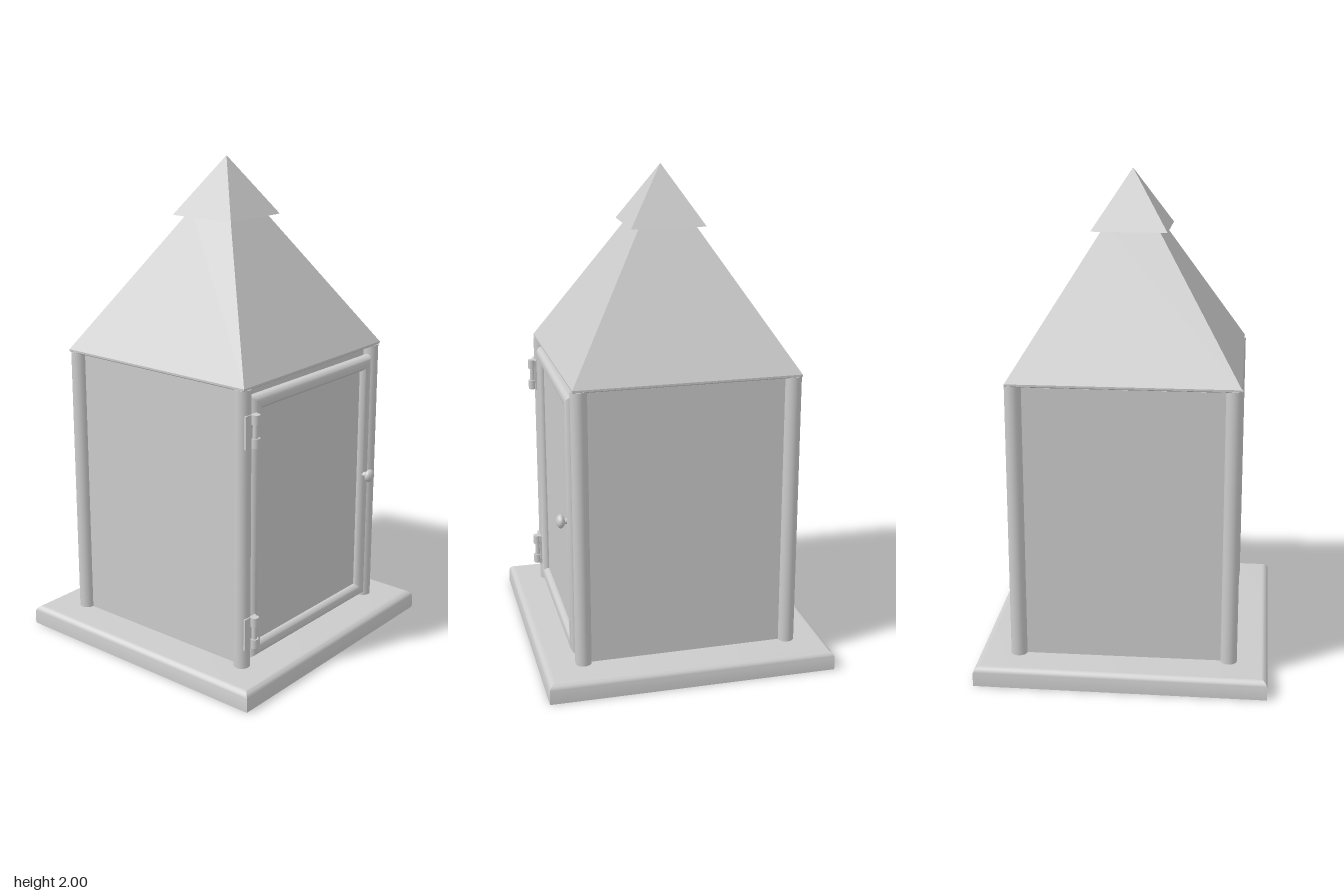
import * as THREE from 'three';
import { toCreasedNormals } from 'three/addons/utils/BufferGeometryUtils.js';

const material = new THREE.MeshStandardMaterial({ color: 0xcccccc });

function add(parent, name, geometry, x = 0, y = 0, z = 0) {
  const mesh = new THREE.Mesh(geometry, material);
  mesh.name = name;
  mesh.position.set(x, y, z);
  parent.add(mesh);
  return mesh;
}

// Square solid with mitred corners from a profile of [half width, height]
function squareSolid(profile) {
  const points = profile.map(([h, y]) => new THREE.Vector2(h * Math.SQRT2, y));
  const geometry = new THREE.LatheGeometry(points, 4, Math.PI / 4);
  return toCreasedNormals(geometry, 0.5);
}

// Rectangle path centred on the origin
function rectangle(path, w, h) {
  path.moveTo(-w / 2, -h / 2);
  path.lineTo(w / 2, -h / 2);
  path.lineTo(w / 2, h / 2);
  path.lineTo(-w / 2, h / 2);
  path.closePath();
  return path;
}

// Door moulding with a half round face, facing +x
function doorFrame(w, h, width) {
  const r = width / 2 - 0.002;
  const shape = rectangle(new THREE.Shape(), w - 2 * r, h - 2 * r);
  shape.holes.push(rectangle(new THREE.Path(), w - 2 * width + 2 * r, h - 2 * width + 2 * r));
  const geometry = new THREE.ExtrudeGeometry(shape, {
    depth: 0.002, bevelEnabled: true, bevelSize: r, bevelThickness: r, bevelSegments: 6,
  });
  geometry.rotateY(Math.PI / 2);
  return toCreasedNormals(geometry, 0.6);
}

function hinge() {
  const group = new THREE.Group();
  group.name = 'hinge';
  add(group, 'hingeLeaf', new THREE.BoxGeometry(0.008, 0.13, 0.07), 0.466, 0, 0.413);
  add(group, 'hingePin', new THREE.CylinderGeometry(0.011, 0.011, 0.13, 16), 0.478, 0, 0.4);
  for (const y of [-0.046, 0.046]) {
    add(group, 'hingeKnuckle', new THREE.CylinderGeometry(0.017, 0.017, 0.038, 20), 0.479, y, 0.4);
  }
  return group;
}

export function createModel() {
  const model = new THREE.Group();
  model.name = 'lantern';

  // Base slab with rounded top edge and a square recess underneath
  const profile = [[0, 0.055], [0.32, 0.055], [0.32, 0], [0.587, 0], [0.587, 0.05]];
  for (let i = 1; i <= 6; i++) {
    const a = (i / 6) * Math.PI / 2;
    profile.push([0.557 + 0.03 * Math.cos(a), 0.05 + 0.03 * Math.sin(a)]);
  }
  profile.push([0, 0.08]);
  add(model, 'base', squareSolid(profile)).rotation.y = 0.013;

  // Body sits slightly turned on the base
  const body = new THREE.Group();
  body.name = 'body';
  body.rotation.y = 0.02;
  model.add(body);

  for (const x of [-0.427, 0.427]) {
    for (const z of [-0.427, 0.427]) {
      add(body, 'cornerPost', new THREE.CylinderGeometry(0.033, 0.033, 1.14, 24), x, 0.645, z);
    }
  }

  // Wall panes on all four sides
  for (let i = 0; i < 4; i++) {
    const side = new THREE.Group();
    side.name = 'wall';
    side.rotation.y = i * Math.PI / 2;
    add(side, 'wallPane', new THREE.BoxGeometry(0.83, 1.125, 0.015), 0, 0.6425, i === 1 ? 0.405 : 0.42);
    body.add(side);
  }

  // Hipped roof with a thin eave
  add(body, 'roof', squareSolid([[0, 1.212], [0.45, 1.212], [0.455, 1.216], [0.455, 1.224], [0.1, 1.79], [0, 1.79]]));

  // Pyramid cap
  add(model, 'roofCap', squareSolid([[0, 1.766], [0.152, 1.766], [0, 2]]));

  // Door on the left side with frame, pane, hinges and knob
  const door = new THREE.Group();
  door.name = 'door';
  door.rotation.y = 0.006;
  add(door, 'doorFrame', doorFrame(0.783, 1.08, 0.06), 0.434, 0.64, -0.003);
  add(door, 'doorPane', new THREE.BoxGeometry(0.012, 1.0, 0.7), 0.432, 0.64, -0.003);
  for (const y of [1.055, 0.23]) {
    const part = hinge();
    part.position.y = y;
    door.add(part);
  }
  const stem = add(door, 'knobStem', new THREE.CylinderGeometry(0.01, 0.014, 0.05, 16), 0.465, 0.665, -0.357);
  stem.rotation.z = -Math.PI / 2;
  const knob = add(door, 'knob', new THREE.SphereGeometry(0.027, 24, 16), 0.488, 0.665, -0.357);
  knob.scale.x = 0.65;
  model.add(door);

  return model;
}
